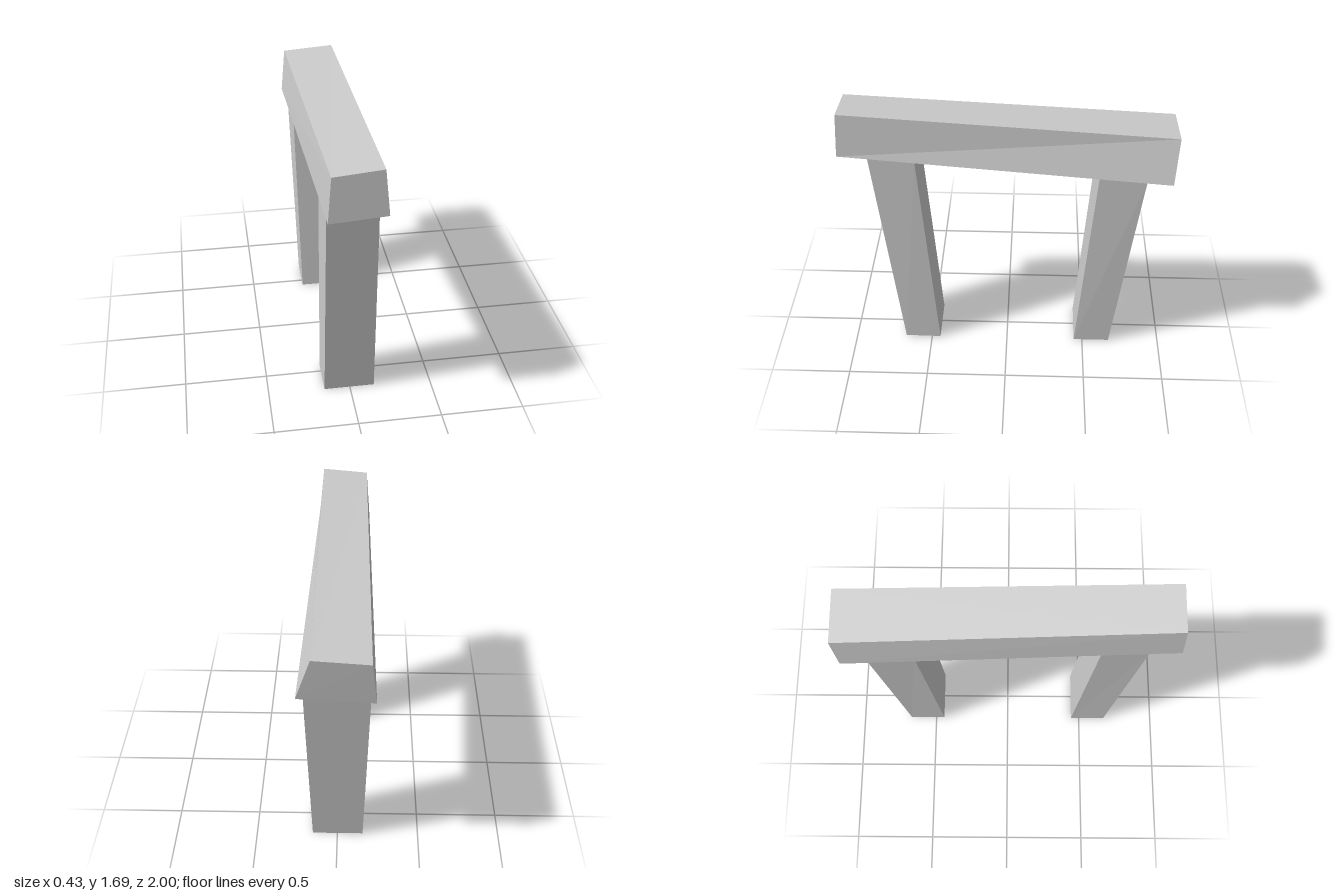
import * as THREE from 'three';

// Six-sided block from a bottom and a top ring, each ordered
// front-left-of-view, front-right, back-right, back-left (x-,z+ first).
function block(name, bottom, top, material) {
  const corners = [...bottom, ...top];
  const index = [4, 5, 6, 4, 6, 7, 3, 2, 1, 3, 1, 0];
  for (let i = 0; i < 4; i++) {
    const j = (i + 1) % 4;
    index.push(i, j, j + 4, i, j + 4, i + 4);
  }
  const indexed = new THREE.BufferGeometry();
  indexed.setAttribute('position', new THREE.Float32BufferAttribute(corners.flat(), 3));
  indexed.setIndex(index);
  const geometry = indexed.toNonIndexed();
  geometry.computeVertexNormals();
  const mesh = new THREE.Mesh(geometry, material);
  mesh.name = name;
  return mesh;
}

export function createModel() {
  const model = new THREE.Group();
  model.name = 'archway';
  const grey = new THREE.MeshStandardMaterial({ color: 0xcccccc, flatShading: true });

  // Crooked lintel, higher and narrower at the front
  model.add(block('lintel',
    [[-0.18, 1.397, 1], [0.146, 1.419, 1], [0.214, 1.304, -0.975], [-0.217, 1.281, -0.975]],
    [[-0.16, 1.662, 0.986], [0.121, 1.687, 0.986], [0.13, 1.57, -1], [-0.19, 1.547, -1]],
    grey));

  // Posts lean outward and thicken toward the lintel
  model.add(block('frontPost',
    [[-0.157, 0, 0.672], [0.15, 0, 0.672], [0.153, 0, 0.445], [-0.157, 0, 0.445]],
    [[-0.163, 1.387, 0.825], [0.128, 1.407, 0.825], [0.138, 1.391, 0.545], [-0.168, 1.371, 0.545]],
    grey));
  model.add(block('backPost',
    [[-0.157, 0, -0.445], [0.153, 0, -0.445], [0.153, 0, -0.674], [-0.157, 0, -0.674]],
    [[-0.187, 1.308, -0.545], [0.176, 1.328, -0.545], [0.188, 1.312, -0.825], [-0.193, 1.291, -0.825]],
    grey));

  return model;
}
